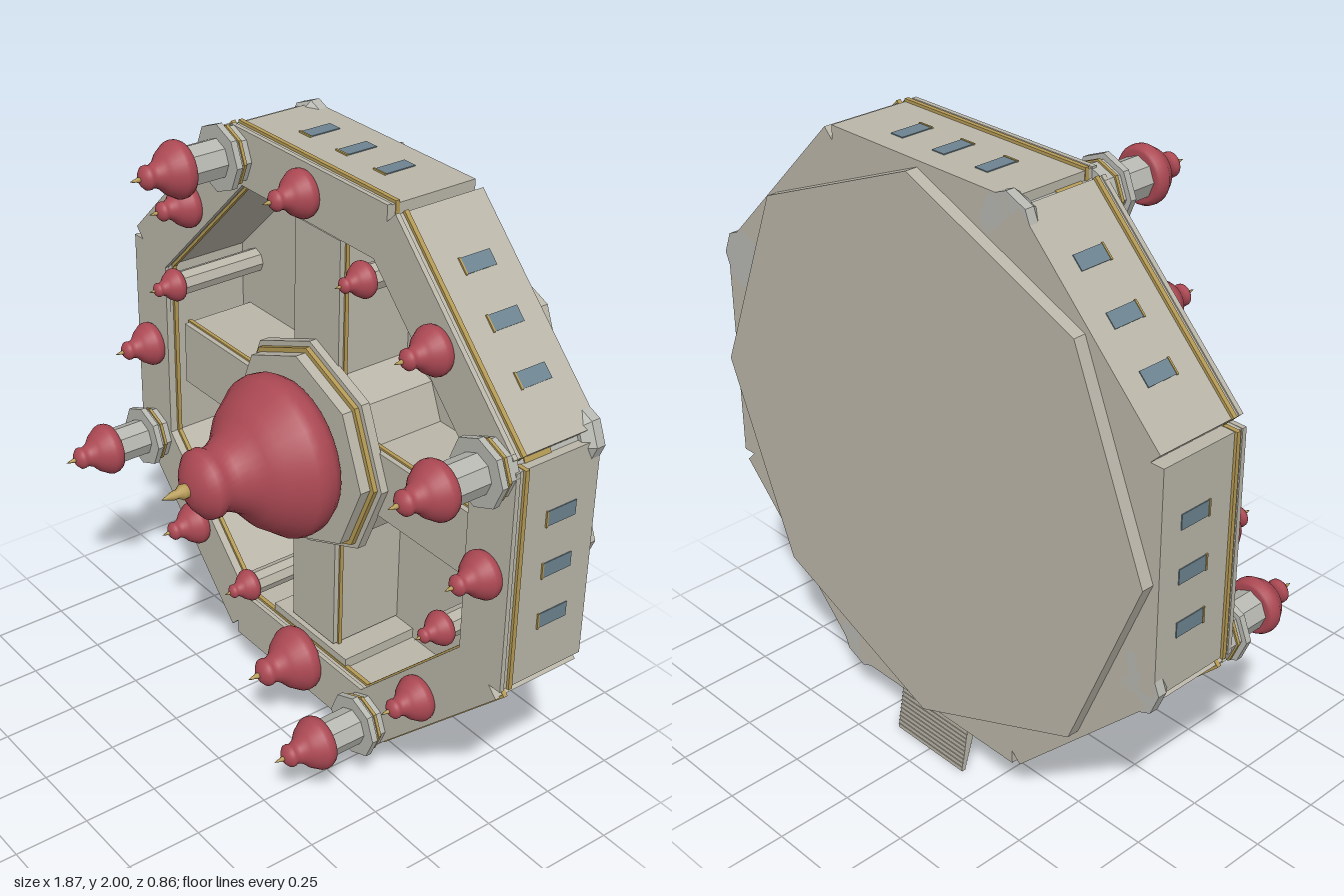
import * as THREE from 'three';

const material = (name, color) => {
  const m = new THREE.MeshStandardMaterial({ color });
  m.name = name;
  return m;
};

export function createModel() {
  const stone = material('stone', 0xbab6a9);
  const paleStone = material('pale stone', 0xb7b8b1);
  const red = material('red dome', 0xab4853);
  const gold = material('gold trim', 0xb59a55);
  const glass = material('window glass', 0x6d8490);

  const model = new THREE.Group();
  const plan = new THREE.Group(); // building plan lies in xy, its height runs along z
  plan.name = 'fortress';
  plan.position.y = 1.065;
  model.add(plan);

  const add = (parent, name, geometry, mat, x = 0, y = 0, z = 0) => {
    const mesh = new THREE.Mesh(geometry, mat);
    mesh.name = name;
    mesh.position.set(x, y, z);
    parent.add(mesh);
    return mesh;
  };
  // Box given by its limits
  const box = (parent, name, mat, x0, x1, y0, y1, z0, z1) =>
    add(parent, name, new THREE.BoxGeometry(x1 - x0, y1 - y0, z1 - z0), mat,
      (x0 + x1) / 2, (y0 + y1) / 2, (z0 + z1) / 2);
  // Eight-sided prism with corners on the axes
  const prism = (parent, name, mat, r, z0, z1, rTop = r) => {
    const g = new THREE.CylinderGeometry(rTop, r, z1 - z0, 8).rotateX(Math.PI / 2).toNonIndexed();
    g.computeVertexNormals();
    return add(parent, name, g, mat, 0, 0, (z0 + z1) / 2);
  };
  const groupAt = (name, radius, angle) => {
    const g = new THREE.Group();
    g.name = name;
    g.position.set(radius * Math.cos(angle), radius * Math.sin(angle), 0);
    plan.add(g);
    return g;
  };

  // Onion dome with a gold finial; profile is for a radius of 0.26
  const profile = [[0, -0.055], [0.21, -0.055], [0.238, -0.045], [0.256, -0.015], [0.26, 0.02], [0.254, 0.045],
    [0.235, 0.07], [0.2, 0.12], [0.165, 0.15], [0.13, 0.18], [0.107, 0.22], [0.1, 0.25],
    [0.11, 0.268], [0.108, 0.295], [0.08, 0.32], [0.045, 0.34], [0, 0.345]];
  const spike = [[0.022, 0.34], [0.024, 0.36], [0.014, 0.375], [0.014, 0.39], [0, 0.43]];
  const dome = (parent, name, r, base, stretch) => {
    const s = r / 0.26;
    const lathe = (pts, n) => new THREE.LatheGeometry(
      pts.map(([a, h]) => new THREE.Vector2(a * s, (h + 0.055) * s * stretch)), n).rotateX(Math.PI / 2);
    add(parent, name, lathe(profile, 32), red, 0, 0, base);
    add(parent, name + 'Finial', lathe(spike, 12), gold, 0, 0, base);
  };

  // Base slab
  prism(plan, 'baseSlab', stone, 0.895, -0.435, -0.393);

  // Eight wall wings with trim, windows and roof domes
  for (let k = 0; k < 8; k++) {
    const angle = k * Math.PI / 4;
    const wing = new THREE.Group();
    wing.name = 'wallWing';
    wing.rotation.z = angle;
    plan.add(wing);
    box(wing, 'wall', stone, 0.747, 0.915, -0.36, 0.36, -0.395, -0.087);
    box(wing, 'wallBand', gold, 0.738, 0.924, -0.362, 0.362, -0.127, -0.113);
    box(wing, 'roofLip', stone, 0.743, 0.919, -0.361, 0.361, -0.1, -0.085);
    for (const y of [-0.17, 0, 0.17]) {
      box(wing, 'window', glass, 0.912, 0.918, y - 0.024, y + 0.024, -0.32, -0.215);
      box(wing, 'windowLintel', gold, 0.912, 0.92, y - 0.026, y + 0.026, -0.216, -0.21);
    }
    if (k !== 6) dome(groupAt('roofCupola', 0.83, angle), 'roofDome', 0.073, -0.09, 1.14);
  }

  // Corner towers alternate with small inner turrets
  for (let k = 0; k < 4; k++) {
    const a = Math.PI / 8 + k * Math.PI / 2;
    const tower = groupAt('cornerTower', 0.9, a);
    prism(tower, 'towerShaft', paleStone, 0.062, -0.395, 0.105);
    prism(tower, 'towerFoot', paleStone, 0.1, -0.395, -0.365);
    prism(tower, 'towerFootStep', paleStone, 0.1, -0.365, -0.335, 0.075);
    prism(tower, 'towerCollar', paleStone, 0.088, -0.1, -0.04);
    prism(tower, 'towerCollarBand', gold, 0.094, -0.065, -0.055);
    prism(tower, 'towerCollarTop', paleStone, 0.105, -0.042, -0.022);
    dome(tower, 'towerDome', 0.087, 0.092, 1.14);
    const slit = box(tower, 'towerSlit', gold, -0.003, 0.003, -0.008, 0.008, -0.235, -0.14);
    slit.position.x = 0.0575 * Math.cos(a);
    slit.position.y = 0.0575 * Math.sin(a);
    slit.rotation.z = a;

    const turret = groupAt('innerTurret', 0.727, a + Math.PI / 4);
    prism(turret, 'turretShaft', stone, 0.04, -0.395, -0.085);
    dome(turret, 'turretDome', 0.054, -0.09, 1.14);
  }

  // Four halls radiating from the centre
  for (let k = 0; k < 4; k++) {
    const hall = new THREE.Group();
    hall.name = 'radialHall';
    hall.rotation.z = k * Math.PI / 2;
    plan.add(hall);
    box(hall, 'hall', stone, 0.2, 0.707, -0.107, 0.107, -0.395, -0.13);
    box(hall, 'hallBand', gold, 0.2, 0.713, -0.113, 0.113, -0.16, -0.147);
  }

  // Central drum and great dome
  prism(plan, 'drum', stone, 0.315, -0.395, -0.1);
  prism(plan, 'drumCornice', stone, 0.352, -0.135, -0.105);
  prism(plan, 'drumBand', gold, 0.334, -0.105, -0.09);
  prism(plan, 'drumTop', stone, 0.318, -0.092, -0.055);
  dome(plan, 'greatDome', 0.26, -0.056, 1);

  // Gatehouse with its larger cupola
  box(plan, 'gatehouse', stone, -0.19, 0.19, -0.9, -0.712, -0.395, -0.115);
  dome(groupAt('gateCupola', 0.8, -Math.PI / 2), 'gateDome', 0.11, -0.095, 1.1);

  // Entrance steps
  const steps = 10;
  for (let i = 0; i < steps; i++) {
    const y0 = -1.065 + i * 0.0145, z1 = -0.4 + i * 0.0045;
    box(plan, 'step', stone, -0.152, 0.152, y0, y0 + 0.0147, z1 - 0.014 - i * 0.0018, z1);
  }
  return model;
}
